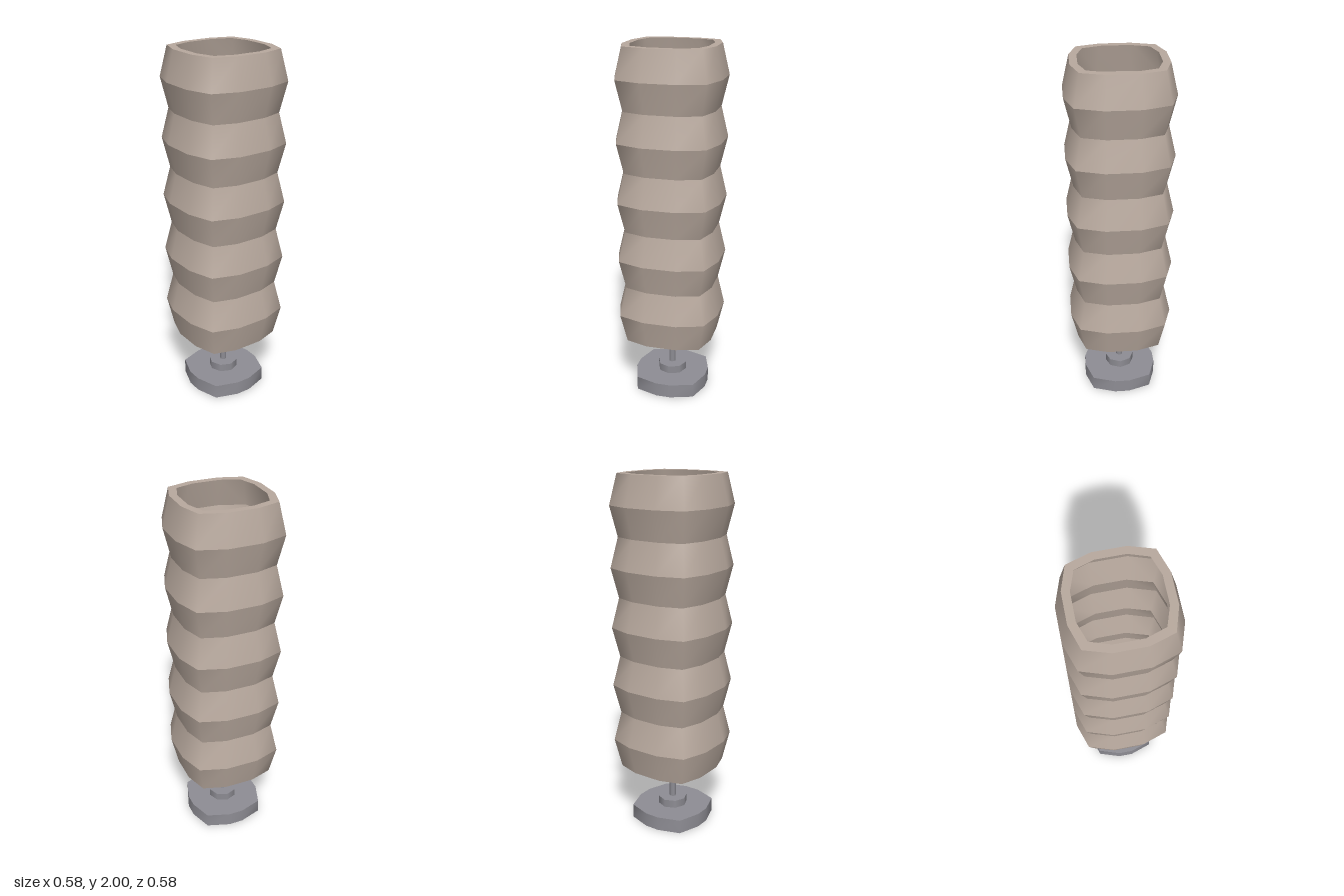
import * as THREE from 'three';

// Twelve-point rounded-square outline: flat sides at r, half-length f, corners at (c, c)
function outline(r, f, c) {
  const pts = [];
  for (let q = 0; q < 4; q++) {
    for (const [x, y] of [[r, -f], [r, f], [c, c]]) {
      pts.push(new THREE.Vector2(x, y).rotateAround(new THREE.Vector2(), q * Math.PI / 2));
    }
  }
  return pts;
}

// Wall between two outlines, smooth around and sharp at its top and bottom edges
function band(low, yLow, high, yHigh) {
  const pos = [], index = [], n = low.length;
  low.forEach((p) => pos.push(p.x, yLow, p.y));
  high.forEach((p) => pos.push(p.x, yHigh, p.y));
  for (let i = 0; i < n; i++) {
    const j = (i + 1) % n;
    index.push(i, n + i, j, j, n + i, n + j);
  }
  const g = new THREE.BufferGeometry();
  g.setAttribute('position', new THREE.Float32BufferAttribute(pos, 3));
  g.setIndex(index);
  g.computeVertexNormals();
  return g;
}

// Flat horizontal plate facing up, optionally with an opening
function plate(points, y, hole) {
  const shape = new THREE.Shape(points);
  if (hole) shape.holes.push(new THREE.Path(hole));
  return new THREE.ShapeGeometry(shape).rotateX(-Math.PI / 2).translate(0, y, 0);
}

export function createModel() {
  const model = new THREE.Group();
  model.name = 'foldedShadeLamp';
  const paper = new THREE.MeshStandardMaterial({ name: 'warm beige', color: 0xb8a99e, side: THREE.DoubleSide });
  const metal = new THREE.MeshStandardMaterial({ name: 'grey metal', color: 0x8e8d94, side: THREE.DoubleSide });

  const add = (parent, name, geometry, material) => {
    const mesh = new THREE.Mesh(geometry, material);
    mesh.name = name;
    parent.add(mesh);
  };

  // Pleated shade: five tiers, each swelling out and back in
  const shade = new THREE.Group();
  shade.name = 'shade';
  const waist = outline(0.25, 0.083, 0.21);
  const bulge = outline(0.288, 0.094, 0.24);
  const tiers = 5, bottom = 0.34, step = (2 - bottom) / tiers;
  for (let i = 0; i < tiers; i++) {
    const y = bottom + i * step;
    add(shade, 'lowerPleat', band(waist, y, bulge, y + step / 2), paper);
    add(shade, 'upperPleat', band(bulge, y + step / 2, waist, y + step), paper);
  }
  add(shade, 'topRim', plate(waist, 2, outline(0.21, 0.075, 0.176)), paper);
  model.add(shade);

  // Hollow foot, open underneath
  const foot = new THREE.Group();
  foot.name = 'foot';
  const footLine = outline(0.21, 0.042, 0.168);
  add(foot, 'footWall', band(footLine, 0, footLine, 0.08), metal);
  add(foot, 'footTop', plate(footLine, 0.08), metal);
  model.add(foot);

  // Collar and stem
  add(model, 'collar', new THREE.CylinderGeometry(0.083, 0.083, 0.045, 8).translate(0, 0.1025, 0), metal);
  add(model, 'stem', new THREE.CylinderGeometry(0.019, 0.019, 0.545, 8, 1, true).translate(0, 0.3975, 0), metal);

  return model;
}
